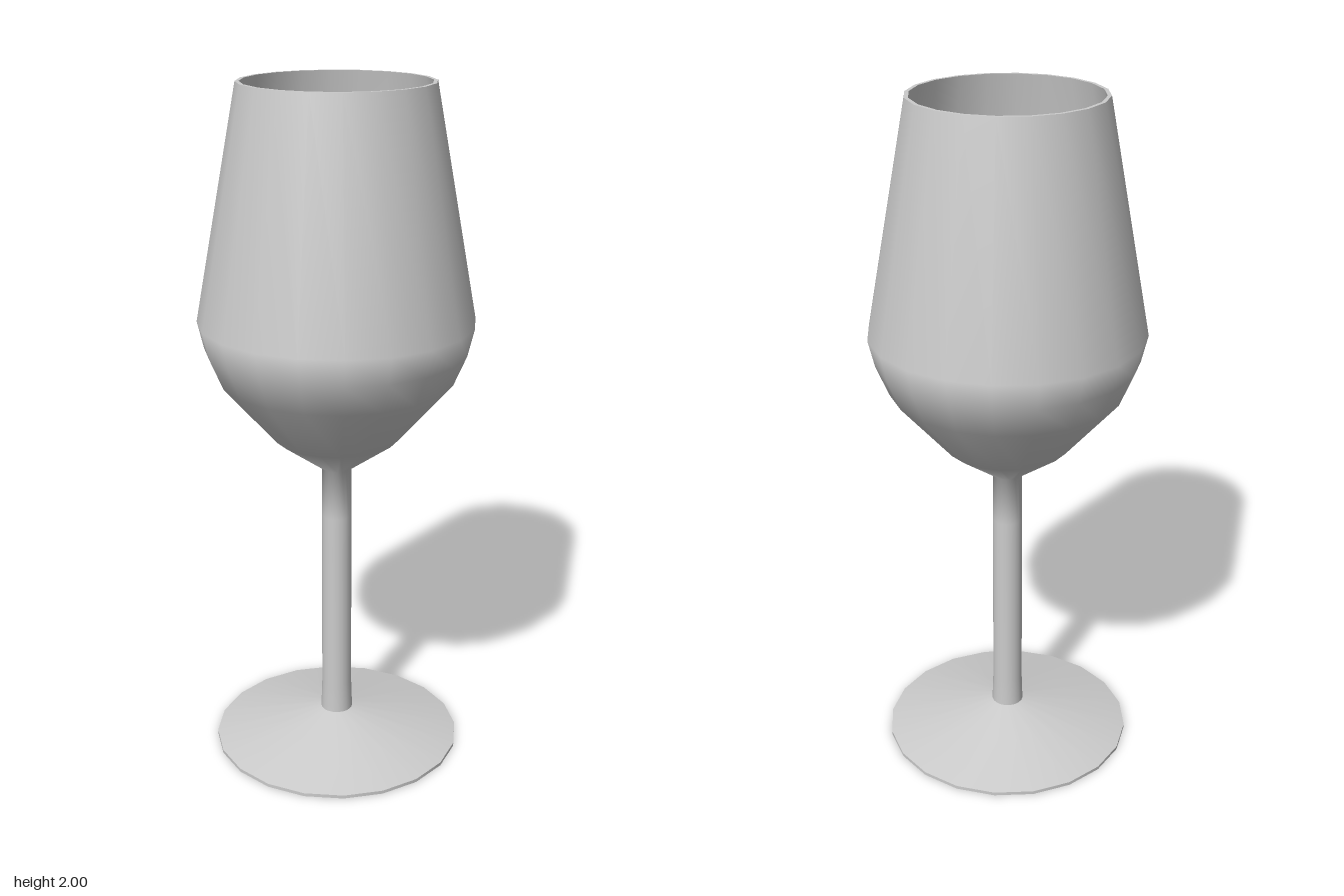
import * as THREE from 'three';

const SIDES = 20;

export function createModel() {
  const model = new THREE.Group();
  model.name = 'wineGlass';
  const glass = new THREE.MeshStandardMaterial({ color: 0xcccccc });

  // Turns a profile of [radius, height] points; each part is smooth within itself
  const turn = (name, profile) => {
    const points = profile.map(([r, y]) => new THREE.Vector2(r, y));
    const mesh = new THREE.Mesh(new THREE.LatheGeometry(points, SIDES), glass);
    mesh.name = name;
    model.add(mesh);
  };

  // Foot: flat underside, thin edge and sloping top
  turn('footUnderside', [[0, 0], [0.373, 0]]);
  turn('footEdge', [[0.373, 0], [0.373, 0.01]]);
  turn('footTop', [[0.373, 0.01], [0.048, 0.09]]);

  // Stem flowing into the outer wall of the bowl
  turn('stemAndBowlOutside', [
    [0.048, 0.09], [0.045, 0.18], [0.044, 0.65], [0.044, 0.74], [0.043, 0.89],
    [0.182, 0.99], [0.338, 1.17], [0.376, 1.26], [0.395, 1.34], [0.272, 2],
  ]);

  // Rim and inner wall
  turn('rim', [[0.272, 2], [0.261, 2]]);
  turn('bowlInside', [
    [0.261, 2], [0.383, 1.34], [0.364, 1.265], [0.327, 1.178],
    [0.175, 1.003], [0.04, 0.91], [0, 0.905],
  ]);

  return model;
}
